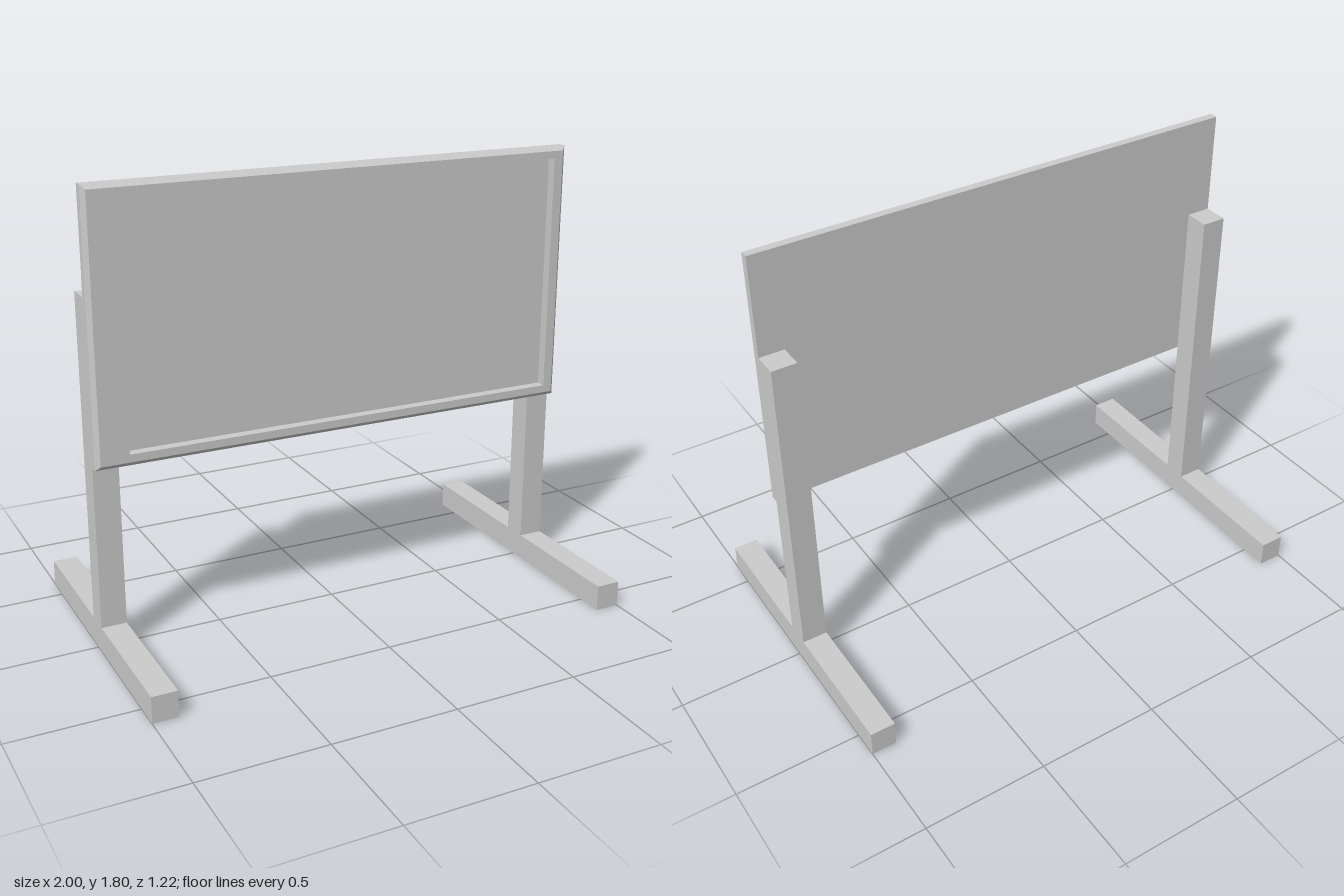
import * as THREE from 'three';

const material = new THREE.MeshStandardMaterial({ color: 0xcccccc });

function box(name, w, h, d, x, y, z) {
  const mesh = new THREE.Mesh(new THREE.BoxGeometry(w, h, d), material);
  mesh.name = name;
  mesh.position.set(x, y, z);
  return mesh;
}

// Rectangle corners, anticlockwise seen from the front
const rect = (x0, x1, y0, y1, z) => [[x0, y0, z], [x1, y0, z], [x1, y1, z], [x0, y1, z]];

// Skins a series of rectangles from back to front and into the recess, with flat faces
function rectLoft(rings) {
  const pos = [];
  const quad = (a, b, c, d) => pos.push(...a, ...b, ...c, ...a, ...c, ...d);
  for (let r = 0; r < rings.length - 1; r++) {
    for (let i = 0; i < 4; i++) {
      const j = (i + 1) % 4;
      quad(rings[r][i], rings[r][j], rings[r + 1][j], rings[r + 1][i]);
    }
  }
  quad(...[...rings[0]].reverse());
  quad(...rings[rings.length - 1]);
  const geometry = new THREE.BufferGeometry();
  geometry.setAttribute('position', new THREE.Float32BufferAttribute(pos, 3));
  geometry.computeVertexNormals();
  return geometry;
}

export function createModel() {
  const model = new THREE.Group();
  model.name = 'signBoard';

  // Board with a chamfered front edge and a recessed, off-centre face
  const c = 0.017;
  const board = new THREE.Mesh(rectLoft([
    rect(-1, 1, 0.757, 1.803, 0.05),
    rect(-1, 1, 0.757, 1.803, 0.1 - c),
    rect(-1 + c, 1 - c, 0.757 + c, 1.803 - c, 0.1),
    rect(-0.87, 0.945, 0.805, 1.755, 0.1),
    rect(-0.87, 0.945, 0.805, 1.755, 0.06),
  ]), material);
  board.name = 'board';
  model.add(board);

  // Post and foot on each side
  for (const [side, s] of [['left', 1], ['right', -1]]) {
    model.add(box(side + 'Post', 0.1, 1.295, 0.1, s * 0.95, 0.7525, 0));
    model.add(box(side + 'Foot', 0.1, 0.105, 1.215, s * 0.95, 0.0525, 0));
  }
  return model;
}
